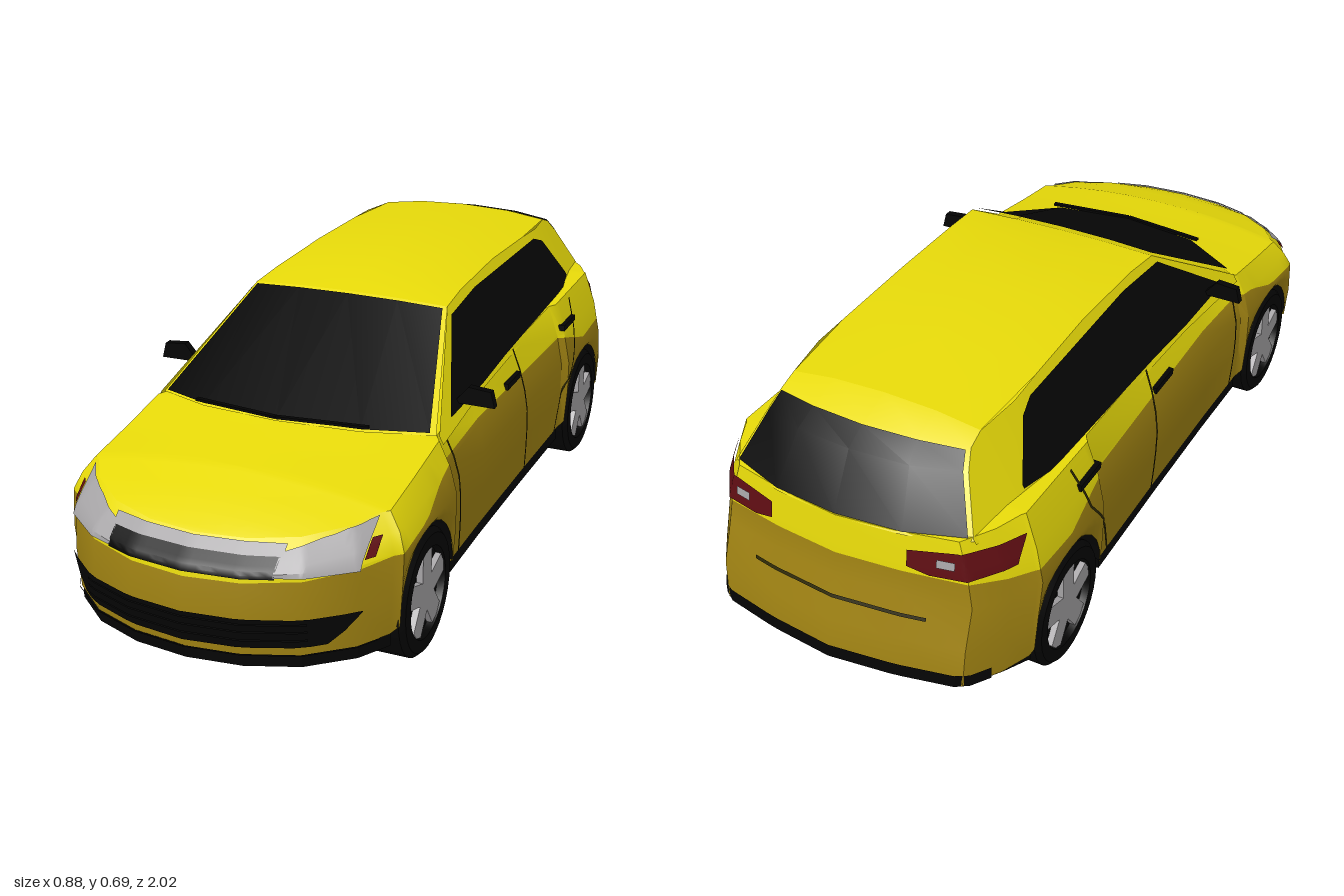
import * as THREE from 'three';
import { toCreasedNormals } from 'three/addons/utils/BufferGeometryUtils.js';

const mat = (name, color) => new THREE.MeshStandardMaterial({ name, color, side: THREE.DoubleSide });
const lerp = (a, b, t) => a + (b - a) * t;
const mix = (p, q, t) => p.map((v, i) => lerp(v, q[i], t));
const clamp01 = (t) => Math.min(1, Math.max(0, t));

// Piecewise-linear lookup in a table of [key, value], keys ascending
function interp(table, k) {
  for (let i = 1; i < table.length; i++) {
    const [a, b] = [table[i - 1], table[i]];
    if (k <= b[0] || i === table.length - 1) return lerp(a[1], b[1], clamp01((k - a[0]) / (b[0] - a[0])));
  }
}

// Surface through rows of points
function grid(rows, crease = 0.5) {
  const n = rows[0].length, index = [];
  for (let r = 0; r < rows.length - 1; r++) {
    for (let c = 0; c < n - 1; c++) {
      const a = r * n + c, b = a + 1, d = a + n, e = d + 1;
      index.push(a, d, b, b, d, e);
    }
  }
  const geo = new THREE.BufferGeometry();
  geo.setAttribute('position', new THREE.Float32BufferAttribute(rows.flat(2), 3));
  geo.setIndex(index);
  geo.computeVertexNormals();
  return toCreasedNormals(geo, crease);
}
const flip = ([x, y, z]) => [-x, y, z];
const bothSides = (half) => [...half.slice(1).reverse().map(flip), ...half];

// ---- Lower body: plan outline from nose to tail, wheel arches cut into its lower edge
const FRONT = 0.605, REAR = -0.625, ARCH = 0.165, AXLE = 0.15, SILL = 0.135;
const arch = (zc) => Array.from({ length: 13 }, (_, i) => {
  const a = (i * Math.PI) / 12;
  return [0.408, zc + ARCH * Math.cos(a), AXLE + ARCH * Math.sin(a)];
});
const plan = [
  [0, 1], [0.13, 0.985], [0.25, 0.94], [0.345, 0.86], [0.39, 0.785], ...arch(FRONT),
  [0.393, 0.42], [0.39, 0.2], [0.39, -0.1], [0.393, -0.44], ...arch(REAR),
  [0.4, -0.8], [0.37, -0.87], [0.315, -0.95], [0.16, -0.982], [0, -1],
];
const beltY = [[-1, 0.48], [-0.93, 0.485], [-0.75, 0.495], [-0.5, 0.49], [0, 0.475], [0.3, 0.465],
  [0.45, 0.445], [0.6, 0.42], [0.8, 0.392], [0.93, 0.37]];
const widths = [0.985, 1, 1, 0.96, 0.89];
const insetFront = [0.005, 0, 0.015, 0.045, 0.075];
const insetRear = [0, 0.01, 0.048, 0.055, 0.065];
const columns = plan.map(([x, z, low = SILL]) => {
  const w = clamp01((Math.abs(z) - 0.5) / 0.5);
  const zs = widths.map((_, r) => (z > 0 ? z - insetFront[r] * w : z + insetRear[r] * w));
  const top = interp(beltY, zs[4]), waist = 0.325;
  const ys = [low, lerp(low, waist, 0.5), waist, lerp(waist, top, 0.5), top];
  return widths.map((s, r) => [x * s, ys[r], zs[r]]);
});

// Point of a body column at height y
function atHeight(c, y) {
  let r = 1;
  while (r < 4 && c[r][1] < y) r++;
  return mix(c[r - 1], c[r], clamp01((y - c[r - 1][1]) / (c[r][1] - c[r - 1][1])));
}

// Height where the gold lower body meets the yellow upper body
const goldY = [[-1, 0.39], [-0.93, 0.385], [-0.8, 0.36], [-0.625, 0.35], [-0.45, 0.4], [0, 0.405],
  [0.35, 0.41], [0.5, 0.38], [0.62, 0.335], [0.75, 0.325], [0.88, 0.315], [1, 0.298]];
const bodyBand = (pick) => grid(widths.map((_, r) => {
  const half = columns.map((c) => atHeight(c, pick(c[r][1], interp(goldY, c[1][2]))));
  return [...half, ...half.slice(0, -1).reverse().map(flip)];
}), 0.6);

// Point on the body skin at height y where x (0) or z (2) reaches a value
function skin(y, axis, value, rear = false) {
  const line = columns.map((c) => atHeight(c, y));
  if (rear) line.reverse();
  for (let i = 1; i < line.length; i++) {
    const a = line[i - 1][axis] - value, b = line[i][axis] - value;
    if (a * b <= 0) return mix(line[i - 1], line[i], a === b ? 0 : a / (a - b));
  }
  return line[0];
}

// Thin plate lying on the nose or tail between two edges y = lo(x) and y = hi(x)
function plate(x0, x1, lo, hi, rear = false, off = 0.008) {
  const rows = [];
  for (let v = 0; v <= 5; v++) {
    const row = [];
    for (let i = 0; i <= 24; i++) {
      const x = lerp(x0, x1, i / 24), ax = Math.abs(x);
      const p = skin(lerp(lo(ax), hi(ax), v / 5), 0, ax, rear);
      const k = off / Math.hypot(1.5 * ax, 1);
      row.push([Math.sign(x) * (p[0] + 1.5 * ax * k), p[1], p[2] + (rear ? -k : k)]);
    }
    rows.push(row);
  }
  return grid(rows);
}

// Narrow panel gap following [z, y] points down the flank
function seam(points) {
  const rows = [];
  for (let i = 1; i < points.length; i++) {
    for (let k = 0; k <= 6; k++) {
      const [z, y] = mix(points[i - 1], points[i], k / 6);
      rows.push([-0.004, 0.004].map((d) => {
        const p = skin(y, 2, z + d);
        return [p[0] + 0.004, p[1], z + d];
      }));
    }
  }
  return grid(rows);
}

// ---- Cabin
const roofEdgeY = [[-0.87, 0.485], [-0.8, 0.597], [-0.765, 0.632], [-0.72, 0.648], [-0.5, 0.658],
  [-0.25, 0.665], [0, 0.658], [0.11, 0.648], [0.43, 0.452]];
const roofMidY = [[-0.72, 0.668], [-0.5, 0.681], [-0.25, 0.688], [0, 0.674], [0.11, 0.655]];
const cabinX = (y, z) => 0.345 - 0.53 * (y - 0.48) - Math.max(0, -z - 0.6) * 0.15;
const cabinPt = (z, y, off = 0) => [cabinX(y, z) + off, y, z];

export function createModel() {
  const car = new THREE.Group();
  car.name = 'hatchback';
  const paint = mat('yellow paint', 0xf3e50a);
  const gold = mat('gold lower paint', 0x9e8112);
  const black = mat('black trim', 0x040404);
  const glass = mat('dark glass', 0x060606);
  const silver = mat('silver', 0xa6a4a6);
  const red = mat('red lens', 0x5e0d12);
  const gap = mat('panel gap', 0x2c2703);
  const add = (parent, name, geo, material) => {
    const m = new THREE.Mesh(geo, material);
    m.name = name;
    parent.add(m);
    return m;
  };

  // Body shell in two colours and the bonnet that closes it
  add(car, 'lowerBody', bodyBand(Math.min), gold);
  add(car, 'upperBody', bodyBand(Math.max), paint);
  add(car, 'bonnet', grid(columns.map((c) => {
    const [x, y, z] = c[4];
    const crown = 0.035 * (x / 0.35) ** 2 * clamp01((z - 0.15) / 0.1);
    return Array.from({ length: 9 }, (_, i) => {
      const s = i / 4 - 1;
      return [x * s, y + crown * (1 - s * s), z];
    });
  })), paint);

  // Underbody, narrowed between the wheels and rising at the tail
  const edge = plan.map(([x, z, low]) => [low ? 0.285 : x * 0.985, z * 0.99]);
  const floor = new THREE.Shape([...edge, ...edge.slice(1, -1).reverse().map(([x, z]) => [-x, z])]
    .map(([x, z]) => new THREE.Vector2(x, -z)));
  const floorGeo = new THREE.ExtrudeGeometry(floor, { depth: 0.034, bevelEnabled: false })
    .rotateX(-Math.PI / 2).translate(0, 0.104, 0);
  const fp = floorGeo.attributes.position;
  for (let i = 0; i < fp.count; i++) fp.setY(i, fp.getY(i) + 0.025 * clamp01((-0.7 - fp.getZ(i)) / 0.15));
  floorGeo.computeVertexNormals();
  add(car, 'underbody', floorGeo, black);

  // Roof, windscreen and tailgate
  const roofRows = [0.11, 0, -0.25, -0.5, -0.72].map((z) => {
    const e = interp(roofEdgeY, z), m = interp(roofMidY, z);
    return [[0, m, z], [0.13, lerp(e, m, 0.75), z], cabinPt(z, e)];
  });
  add(car, 'roof', grid(roofRows.map(bothSides)), paint);
  const screen = [[[0, 0.472, 0.535], [0.2, 0.468, 0.51], [0.352, 0.452, 0.43]], roofRows[0]];
  add(car, 'windscreenFrame', grid(screen.map(bothSides)), paint);
  const tail = [
    roofRows[4],
    [[0, 0.642, -0.8], [0.13, 0.64, -0.79], cabinPt(-0.765, 0.632)],
    [[0, 0.61, -0.86], [0.14, 0.605, -0.845], cabinPt(-0.8, 0.597)],
    [[0, 0.48, -0.935], [0.16, 0.48, -0.92], cabinPt(-0.87, 0.48)],
  ];
  add(car, 'tailgate', grid(tail.map(bothSides)), paint);
  const pane = (rows, inset, dy, dz) => grid(rows.map((r) => bothSides(
    [r[0], r[1], mix(r[1], r[2], inset)].map(([x, y, z]) => [x, y + dy, z + dz]))));
  const between = (a, b, t) => a.map((p, i) => mix(p, b[i], t));
  add(car, 'windscreen', pane([between(...screen, 0.01), between(...screen, 0.97)], 0.92, 0.005, 0.004), glass);
  add(car, 'rearWindow', pane([between(tail[1], tail[2], 0.1), tail[2], between(tail[2], tail[3], 0.95)],
    0.93, 0.004, -0.006), glass);

  // Wipers
  for (const s of [-1, 1]) {
    const w = add(car, 'wiper', new THREE.BoxGeometry(0.22, 0.006, 0.012), black);
    w.position.set(s * 0.11, 0.482, 0.522);
    w.rotation.y = s * 0.12;
  }

  // Nose: grille, chrome strip, lower intake with slats
  const at = (y) => () => y;
  add(car, 'grille', plate(-0.195, 0.195, at(0.313), at(0.352)), black);
  add(car, 'grilleStrip', plate(-0.2, 0.2, at(0.352), at(0.372), false, 0.01), silver);
  add(car, 'lowerIntake', plate(-0.35, 0.35,
    (x) => interp([[0, 0.155], [0.3, 0.158], [0.35, 0.222]], x), at(0.225)), black);
  for (const y of [0.175, 0.195, 0.213]) {
    add(car, 'intakeSlat', plate(-0.26, 0.26, at(y), at(y + 0.005), false, 0.013), glass);
  }
  add(car, 'frontLip', plate(-0.37, 0.37, at(0.133), at(0.139), false, 0.006), black);

  // Tail: bumper gap and lower trim
  add(car, 'bumperGap', plate(-0.22, 0.22, at(0.282), at(0.29), true, 0.005), gap);
  add(car, 'rearLip', plate(-0.35, 0.35, at(0.133), at(0.165), true, 0.006), black);

  // Parts repeated on the left and right
  const rimShape = new THREE.Shape();
  for (let k = 0; k < 5; k++) {
    const a = Math.PI / 2 + (k * Math.PI * 2) / 5;
    for (const [r, d] of [[0.045, -0.6], [0.103, -0.27], [0.106, 0], [0.103, 0.27]]) {
      const p = [r * Math.cos(a + d), r * Math.sin(a + d)];
      if (k === 0 && d === -0.6) rimShape.moveTo(...p);
      else rimShape.lineTo(...p);
    }
  }
  const rim = new THREE.ExtrudeGeometry(rimShape, { depth: 0.016, bevelEnabled: false })
    .rotateY(Math.PI / 2).translate(0.031, 0, 0);
  const tyre = toCreasedNormals(new THREE.LatheGeometry([[0, -0.05], [0.138, -0.05], [0.15, -0.038], [0.15, 0.038],
    [0.138, 0.05], [0.108, 0.05], [0.104, 0.033], [0, 0.03]].map((p) => new THREE.Vector2(...p)), 32)
    .rotateZ(-Math.PI / 2), 0.5);
  const mirrorShape = new THREE.Shape([[0.335, 0.477], [0.35, 0.49], [0.375, 0.52], [0.43, 0.515], [0.44, 0.476]]
    .map((p) => new THREE.Vector2(...p)));
  for (const s of [1, -1]) {
    const side = new THREE.Group();
    side.name = s > 0 ? 'leftSide' : 'rightSide';
    side.scale.x = s;
    car.add(side);

    // Cabin flank and side glass
    const zs = [0.43, 0.11, 0, -0.25, -0.5, -0.6, -0.72, -0.765, -0.8, -0.87];
    add(side, 'cabinSide', grid([(z) => interp(beltY, z) - 0.015, (z) => interp(roofEdgeY, z)]
      .map((height) => zs.map((z) => cabinPt(z, height(z))))), paint);
    const win = [[0.345, 0.466, 0.47], [0.115, 0.469, 0.632], [-0.07, 0.478, 0.645],
      [-0.55, 0.492, 0.64], [-0.6, 0.495, 0.622], [-0.69, 0.502, 0.51]];
    add(side, 'sideWindow', grid([1, 2].map((k) => win.map((w) => cabinPt(w[0], w[k], 0.005)))), glass);

    // Lamps
    add(side, 'headlamp', plate(0.192, 0.345, at(0.316),
      (x) => interp([[0.19, 0.357], [0.26, 0.378], [0.345, 0.405]], x)), silver);
    add(side, 'sideMarker', plate(0.347, 0.362, at(0.335), at(0.368)), red);
    add(side, 'tailLamp', plate(0.17, 0.37, (x) => interp([[0.17, 0.41], [0.22, 0.397], [0.37, 0.4]], x),
      (x) => interp([[0.17, 0.45], [0.28, 0.463], [0.37, 0.457]], x), true), red);
    add(side, 'reverseLamp', plate(0.235, 0.275, at(0.422), at(0.442), true, 0.011), silver);

    // Door gaps and handles
    add(side, 'frontDoorGap', seam([[0.39, 0.44], [0.37, 0.14]]), gap);
    add(side, 'middleDoorGap', seam([[-0.12, 0.475], [-0.14, 0.14]]), gap);
    add(side, 'rearDoorGap', seam([[-0.56, 0.48], [-0.52, 0.36], [-0.43, 0.24], [-0.4, 0.14]]), gap);
    for (const [z, y] of [[-0.06, 0.413], [-0.5, 0.427]]) {
      add(side, 'doorHandle', new THREE.BoxGeometry(0.018, 0.016, 0.1), black)
        .position.set(skin(y, 2, z)[0], y, z);
    }

    // Door mirror
    add(side, 'doorMirror', new THREE.ExtrudeGeometry(mirrorShape, { depth: 0.02, bevelEnabled: false }), black)
      .position.z = 0.262;

    // Wheels and wheel wells
    for (const z of [FRONT, REAR]) {
      const wheel = new THREE.Group();
      wheel.name = z > 0 ? 'frontWheel' : 'rearWheel';
      wheel.position.set(0.355, AXLE, z);
      side.add(wheel);
      add(wheel, 'tyre', tyre, black);
      add(wheel, 'rim', rim, silver);
      const angles = Array.from({ length: 17 }, (_, i) => (i * Math.PI) / 16);
      add(side, 'wheelWell', grid([[0.28, 0], [0.28, 0.168], [0.4, 0.168]].map(([x, r]) =>
        angles.map((a) => [x, r * Math.sin(a) + AXLE, r * Math.cos(a) + z]))), black);
    }
  }
  return car;
}
